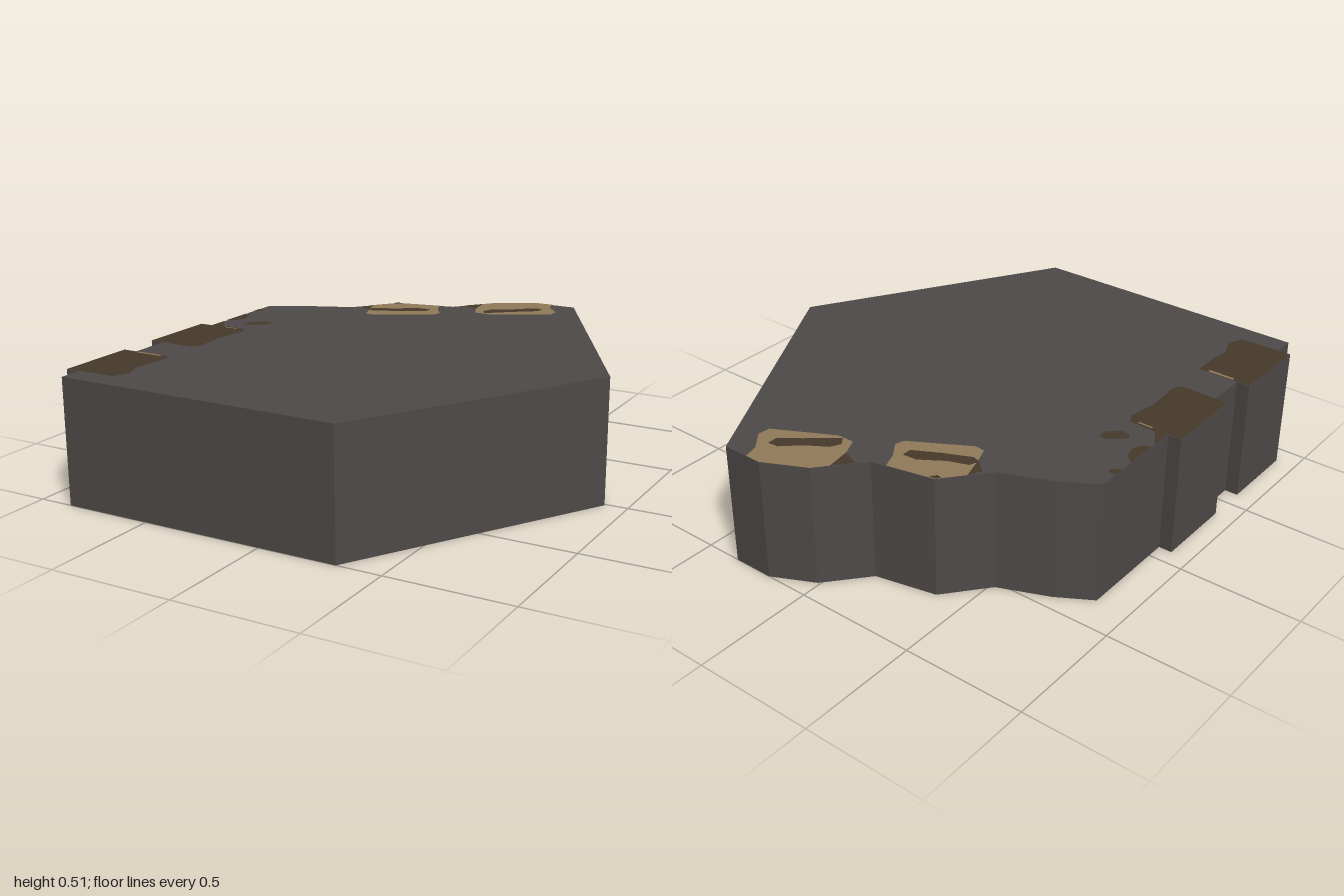
import * as THREE from 'three';

const H = 0.507;
const mat = (name, color) => new THREE.MeshStandardMaterial({ name, color, side: THREE.DoubleSide });

// flat horizontal sheet from [x, z] points, facing up
function sheet(points, y) {
  const shape = new THREE.Shape(points.map(([x, z]) => new THREE.Vector2(x, -z)));
  return new THREE.ShapeGeometry(shape).rotateX(-Math.PI / 2).translate(0, y, 0);
}

// upright walls along a closed outline, open at the bottom
function wallLoop(points, height) {
  const pos = [];
  points.forEach(([ax, az], i) => {
    const [bx, bz] = points[(i + 1) % points.length];
    pos.push(ax, 0, az, bx, 0, bz, bx, height, bz, ax, 0, az, bx, height, bz, ax, height, az);
  });
  const g = new THREE.BufferGeometry();
  g.setAttribute('position', new THREE.Float32BufferAttribute(pos, 3));
  g.computeVertexNormals();
  return g;
}

export function createModel() {
  const group = new THREE.Group();
  const stone = mat('dark stone', 0x4e4a48);
  const earth = mat('dark brown', 0x46392b);
  const tan = mat('tan', 0x927a5a);
  const add = (name, geometry, material) => {
    const mesh = new THREE.Mesh(geometry, material);
    mesh.name = name;
    group.add(mesh);
  };
  // patch visible from above and from the hollow underside
  const patch = (name, points, material, lift = 0.0015) => {
    add(name, sheet(points, H + lift), material);
    add(name + 'Underside', sheet(points, H - lift), material);
  };

  // hollow slab: angular front, scalloped back, two square tabs on the -x side
  const outline = [
    [-0.86, 1], [0.32, 1], [0.91, 0.01], [0.35, -1], [0.18, -1], [0.01, -0.915],
    [-0.13, -0.75], [-0.38, -0.695], [-0.52, -0.525], [-0.72, -0.44], [-0.86, -0.355],
    [-0.86, 0.07], [-0.915, 0.07], [-0.915, 0.405], [-0.86, 0.405],
    [-0.86, 0.575], [-0.915, 0.575], [-0.915, 0.91], [-0.86, 0.91],
  ];
  add('walls', wallLoop(outline, H), stone);
  add('top', sheet(outline, H), stone);

  // brown patches over the square tabs
  patch('rearTabPatch', [
    [-0.915, 0.07], [-0.86, 0.07], [-0.86, -0.02], [-0.81, 0.055], [-0.7, 0.06], [-0.68, 0.1],
    [-0.7, 0.22], [-0.69, 0.38], [-0.71, 0.41], [-0.915, 0.405],
  ], earth);
  patch('frontTabPatch', [
    [-0.915, 0.575], [-0.69, 0.575], [-0.69, 0.7], [-0.7, 0.76], [-0.67, 0.845],
    [-0.7, 0.905], [-0.915, 0.91],
  ], earth);
  patch('frontTabLine', [[-0.84, 0.577], [-0.73, 0.577], [-0.73, 0.59], [-0.84, 0.59]], tan, 0.003);
  patch('rearTabLine', [[-0.79, 0.068], [-0.73, 0.068], [-0.73, 0.076], [-0.79, 0.076]], tan, 0.003);

  // small stray spots
  patch('edgeSpot', [[-0.86, -0.18], [-0.825, -0.15], [-0.81, -0.1], [-0.825, -0.055], [-0.86, -0.04]], earth);
  patch('smallSpot', [[-0.86, -0.28], [-0.83, -0.28], [-0.825, -0.255], [-0.86, -0.235]], earth);
  patch('innerSpot', [[-0.76, -0.045], [-0.7, -0.1], [-0.665, -0.1], [-0.665, -0.06], [-0.71, -0.015], [-0.75, -0.02]], earth);

  // tan patches with dark slots on the back scallops
  patch('leftScallopPatch', [
    [0.18, -1], [0.245, -1], [0.26, -0.94], [0.32, -0.865], [0.315, -0.815], [0.08, -0.69],
    [0.01, -0.69], [-0.02, -0.76], [-0.035, -0.86], [0.01, -0.915],
  ], tan);
  patch('leftScallopShade', [[-0.035, -0.86], [-0.095, -0.79], [-0.02, -0.76]], earth);
  patch('leftSlot', [
    [0.03, -0.73], [0.05, -0.77], [0.13, -0.82], [0.2, -0.885], [0.245, -0.89],
    [0.245, -0.845], [0.17, -0.79], [0.055, -0.695],
  ], earth, 0.003);
  patch('rightScallopPatch', [
    [-0.38, -0.695], [-0.19, -0.735], [-0.165, -0.67], [-0.12, -0.605], [-0.13, -0.57],
    [-0.36, -0.435], [-0.4, -0.44], [-0.425, -0.505], [-0.455, -0.604],
  ], tan);
  patch('rightScallopShade', [[-0.455, -0.604], [-0.48, -0.55], [-0.425, -0.505]], earth);
  patch('rightScallopSpot', [[-0.395, -0.676], [-0.38, -0.695], [-0.355, -0.695], [-0.375, -0.67]], earth, 0.003);
  patch('rightSlot', [
    [-0.435, -0.51], [-0.42, -0.55], [-0.34, -0.58], [-0.25, -0.64], [-0.19, -0.645],
    [-0.19, -0.605], [-0.29, -0.55], [-0.4, -0.5],
  ], earth, 0.003);

  return group;
}
